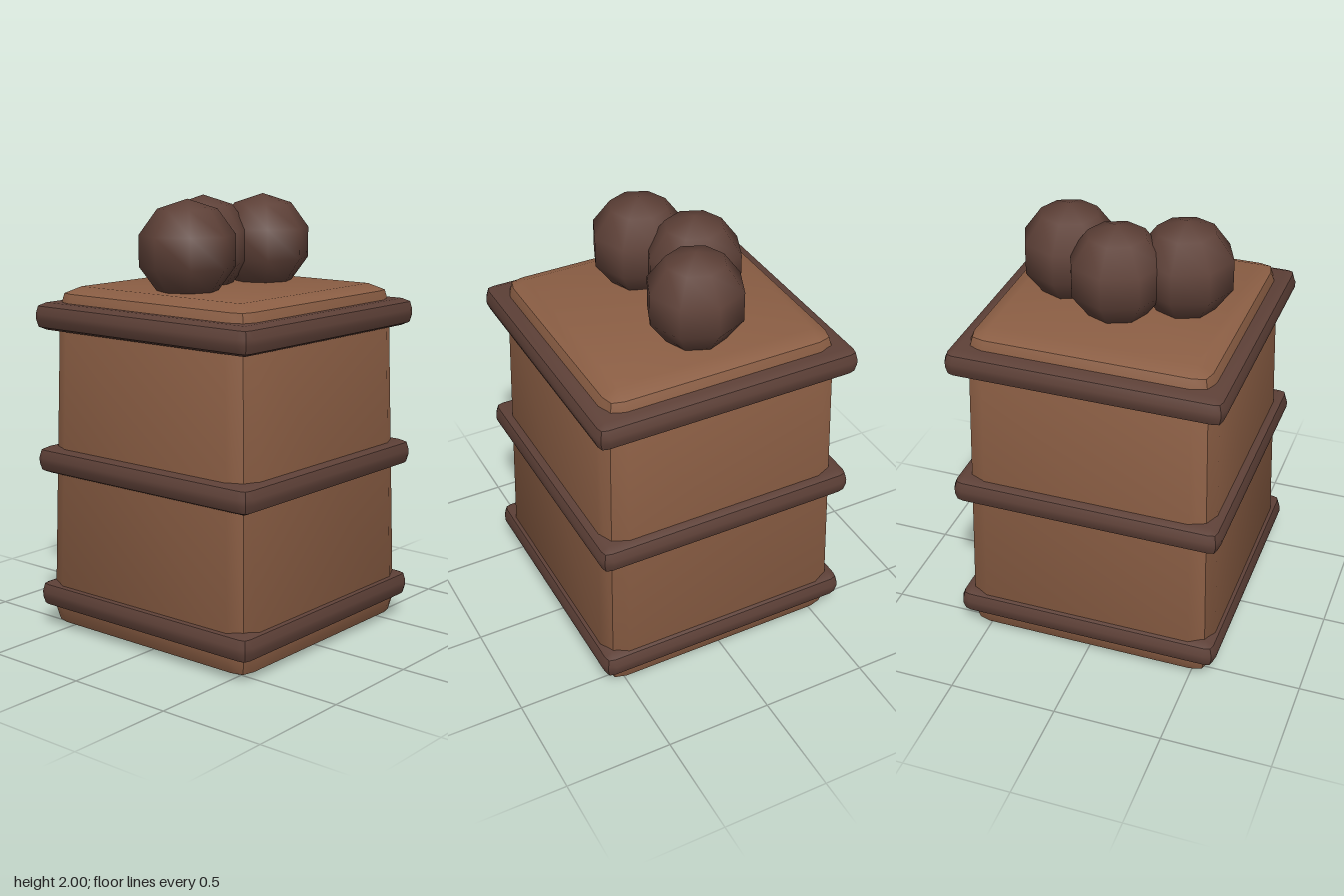
import * as THREE from 'three';
import { toCreasedNormals } from 'three/addons/utils/BufferGeometryUtils.js';

// Square outline with two-step bevelled corners: side s, corner middle m, bevel start c
function ring(y, s, m, c) {
  const pts = [];
  for (let k = 0; k < 4; k++) {
    for (let [x, z] of [[s, c], [m, m], [c, s]]) {
      for (let r = 0; r < k; r++) [x, z] = [-z, x];
      pts.push([x, y, z]);
    }
  }
  return pts;
}

// Tapered square block with a two-step bevel on every edge
function bevelledBlock(y0, y1, h0, h1, b) {
  const levels = (y, h, dir) => [
    ring(y, h - b, h - b, h - b),
    ring(y + dir * 0.3 * b, h - 0.3 * b, h - 0.45 * b, h - b),
    ring(y + dir * b, h, h - 0.3 * b, h - b),
  ];
  const rings = [...levels(y0, h0, 1), ...levels(y1, h1, -1).reverse()];
  const pos = [];
  const tri = (...p) => p.forEach((v) => pos.push(...v));
  for (let i = 0; i < 12; i++) {
    const j = (i + 1) % 12;
    for (let r = 0; r < rings.length - 1; r++) {
      const lo = rings[r], hi = rings[r + 1];
      tri(lo[i], hi[i], hi[j]);
      tri(lo[i], hi[j], lo[j]);
    }
    const top = rings[rings.length - 1];
    tri([0, y0, 0], rings[0][i], rings[0][j]);
    tri([0, y1, 0], top[j], top[i]);
  }
  const geo = new THREE.BufferGeometry();
  geo.setAttribute('position', new THREE.Float32BufferAttribute(pos, 3));
  return toCreasedNormals(geo, 0.6);
}

export function createModel() {
  const group = new THREE.Group();
  const brown = new THREE.MeshStandardMaterial({ color: 0x8b5e44 });
  brown.name = 'lightBrown';
  const dark = new THREE.MeshStandardMaterial({ color: 0x5d4037 });
  dark.name = 'darkBrown';

  const add = (name, geo, mat, x = 0, y = 0, z = 0) => {
    const mesh = new THREE.Mesh(geo, mat);
    mesh.name = name;
    mesh.position.set(x, y, z);
    group.add(mesh);
  };

  // Slightly tapered main block
  add('body', bevelledBlock(0, 1.6, 0.597, 0.562, 0.1), brown);

  // Three bands around the block
  const band = bevelledBlock(-0.0625, 0.0625, 0.624, 0.624, 0.05);
  [['lowerBand', 0.16], ['middleBand', 0.803], ['upperBand', 1.467]]
    .forEach(([name, y]) => add(name, band, dark, 0, y, 0));

  // Three balls resting on top
  const ball = new THREE.SphereGeometry(0.225, 8, 5);
  [['leftBall', 0.265, 0], ['rightBall', -0.265, 0], ['rearBall', 0, -0.135]]
    .forEach(([name, x, z]) => add(name, ball, dark, x, 1.775, z));

  return group;
}
